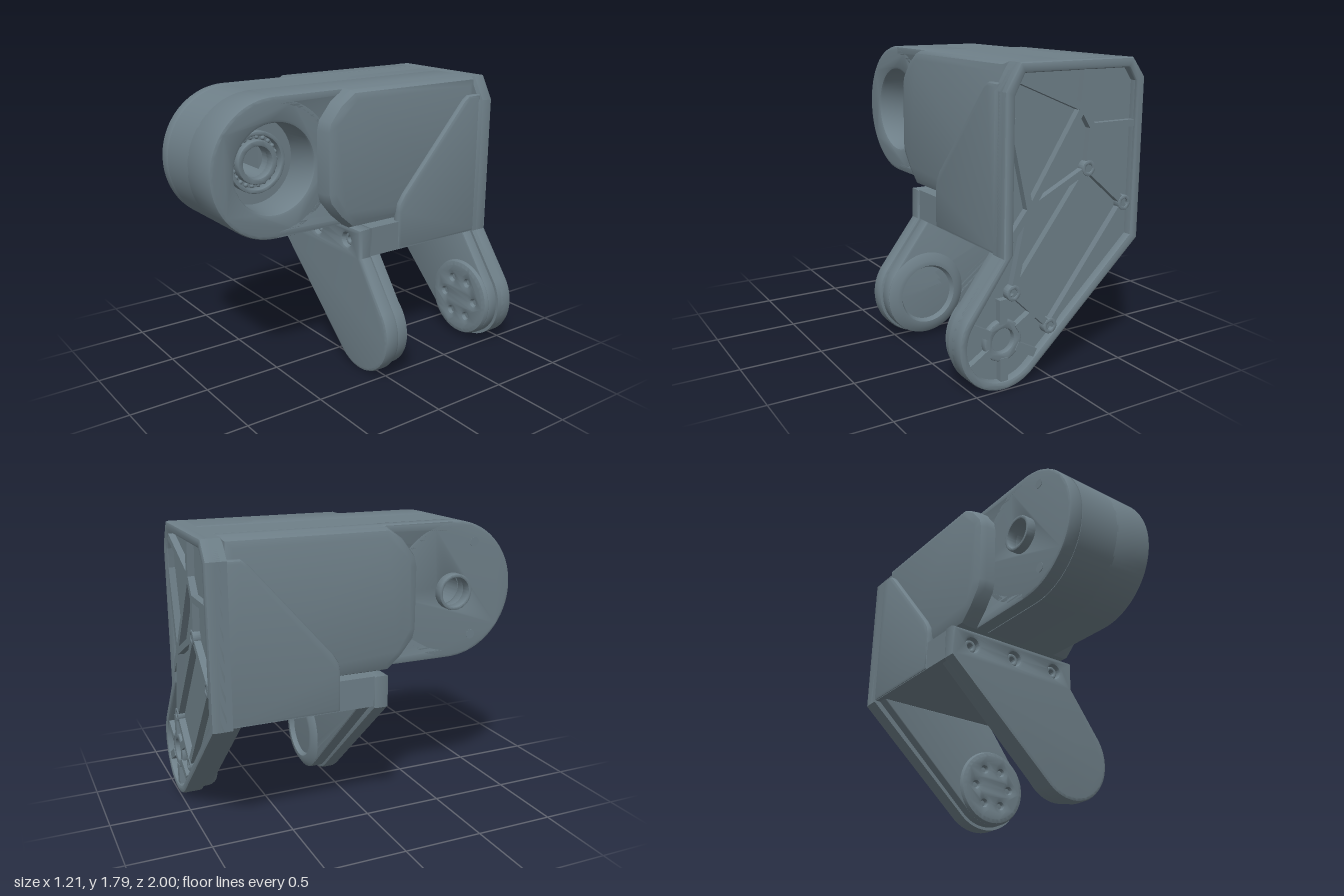
import * as THREE from 'three';
import { toCreasedNormals } from 'three/addons/utils/BufferGeometryUtils.js';

const LEG = [0.32, 0.285];      // pivot of the legs (x, y)
const HUB = [0.575, 1.365];     // pivot of the arm (z, y)
const ARM_R = 0.425;

export function createModel() {
  const model = new THREE.Group();
  const slate = new THREE.MeshStandardMaterial({ color: 0x6e7f88 });
  slate.name = 'slate grey';

  const add = (name, geo, x = 0, y = 0, z = 0) => {
    const mesh = new THREE.Mesh(geo, slate);
    mesh.name = name;
    mesh.position.set(x, y, z);
    model.add(mesh);
    return mesh;
  };
  // Extrusion between two depths, with chamfers kept inside the outline
  const slab = (shape, from, to, bevel = 0, inset = bevel) => {
    const geo = new THREE.ExtrudeGeometry(shape, {
      depth: to - from - 2 * bevel, bevelEnabled: bevel > 0, bevelThickness: bevel,
      bevelSize: inset, bevelOffset: -inset, bevelSegments: 2, curveSegments: 40,
    });
    geo.translate(0, 0, from + bevel);
    return toCreasedNormals(geo, 0.6);
  };
  // Same, for outlines in (z, y) extruded along x
  const sideSlab = (shape, x0, x1, bevel) => slab(shape, -x1, -x0, bevel).rotateY(-Math.PI / 2);
  const poly = (pts) => new THREE.Shape(pts.map((p) => new THREE.Vector2(...p)));
  const hole = (shape, x, y, r) => {
    shape.holes.push(new THREE.Path().absarc(x, y, r, 0, Math.PI * 2, true));
    return shape;
  };
  const disc = (x, y, r) => new THREE.Shape().absarc(x, y, r, 0, Math.PI * 2, false);
  const ring = (r, bore) => hole(disc(...HUB, r), ...HUB, bore);

  // Plate outline that tapers tangentially onto the round end of a leg
  const legShape = (r, left, right, top) => {
    const tangent = (p, sign) => {
      const dx = p[0] - LEG[0], dy = p[1] - LEG[1];
      return Math.atan2(dy, dx) + sign * Math.acos(r / Math.hypot(dx, dy));
    };
    const a0 = tangent(left, 1), a1 = tangent(right, -1) + Math.PI * 2;
    const pts = [];
    for (let i = 0; i <= 40; i++) {
      const a = a0 + (a1 - a0) * (i / 40);
      pts.push([LEG[0] + r * Math.cos(a), LEG[1] + r * Math.sin(a)]);
    }
    return poly([...pts, right, ...top, left]);
  };

  // ---- Arm: layers of a round end with a bore, each joined to a straight beam ----
  const armLayer = (name, x0, x1, bore, bevel) => {
    add(name + 'End', sideSlab(ring(ARM_R, bore), x0, x1, bevel));
    const [z, y] = HUB, bite = 0.36;
    const beam = new THREE.Shape();
    beam.moveTo(-0.89, y - ARM_R);
    beam.lineTo(z, y - ARM_R);
    beam.lineTo(z, y - bite);
    beam.absarc(z, y, bite, -Math.PI / 2, -Math.PI * 1.5, true);
    beam.lineTo(z, y + ARM_R);
    beam.lineTo(-0.89, y + ARM_R);
    add(name + 'Beam', sideSlab(beam, x0, x1, bevel));
  };
  armLayer('armRecess', -0.12, 0.17, 0.27, 0.02);
  armLayer('armCore', -0.365, -0.09, 0.1, 0);
  armLayer('armCap', -0.455, -0.36, 0.1, 0.015);

  // Wide shoulder block with chamfered front corners
  const shoulder = poly([[-0.89, 0.94], [0.1, 0.94], [0.19, 1.02], [0.27, 1.12], [0.285, 1.18],
    [0.285, 1.56], [0.27, 1.62], [0.19, 1.72], [0.09, 1.79], [-0.89, 1.79]]);
  add('shoulderBlock', sideSlab(shoulder, -0.57, 0.29, 0.055));

  // Bearing in the recess
  add('bearingOuterRing', sideSlab(ring(0.19, 0.165), -0.1, -0.03, 0.006));
  add('bearingInnerRing', sideSlab(ring(0.135, 0.1), -0.1, -0.03, 0.006));
  const ball = new THREE.SphereGeometry(0.014, 10, 8);
  for (let i = 0; i < 22; i++) {
    const a = (i / 22) * Math.PI * 2;
    add('bearingBall', ball, -0.075, HUB[1] + 0.15 * Math.sin(a), HUB[0] + 0.15 * Math.cos(a));
  }
  add('shaftFlat', new THREE.BoxGeometry(0.2, 0.17, 0.04), -0.25, HUB[1], HUB[0] - 0.09);

  // Pivot collar and screws on the far side of the arm
  add('pivotCollar', sideSlab(ring(0.112, 0.09), -0.51, -0.44, 0.008));
  for (const s of [-1, 1]) {
    const screw = add('capScrew', new THREE.CylinderGeometry(0.03, 0.03, 0.01, 20),
      -0.453, HUB[1] + s * 0.29, HUB[0] + 0.15);
    screw.rotation.z = Math.PI / 2;
  }

  // ---- Bracket ----
  add('bracketFloor', new THREE.BoxGeometry(0.91, 0.185, 0.92), -0.14, 0.8425, -0.47);
  const gusset = poly([[-0.9, 0.75], [-0.23, 0.75], [-0.23, 1.0], [-0.24, 1.05], [-0.28, 1.11],
    [-0.76, 1.65], [-0.8, 1.68], [-0.9, 1.68]]);
  add('rightGusset', sideSlab(gusset, -0.605, -0.54, 0.02));
  add('leftGusset', sideSlab(gusset, 0.26, 0.325, 0.02));

  // Front plate and leg, with three countersunk bolts
  const front = legShape(0.285, [-0.605, 0.74], [0.325, 0.75], [[0.325, 0.935], [-0.605, 0.935]]);
  for (const x of [-0.46, -0.14, 0.18]) {
    hole(front, x, 0.84, 0.045);
    add('bolt', slab(hole(disc(x, 0.84, 0.042), x, 0.84, 0.02), -0.02, 0.05, 0.008));
  }
  add('frontLeg', slab(front, -0.02, 0.08, 0.02));
  const inner = () => legShape(0.265, [-0.57, 0.755], [0.3, 0.755], []);
  add('frontLegInner', slab(hole(inner(), ...LEG, 0.19), -0.1, -0.01, 0.012));

  // Tapered boss with a dished socket on the inside of the front leg
  const boss = new THREE.LatheGeometry([[0.262, 0], [0.262, 0.08], [0.215, 0.11], [0.185, 0.11],
    [0.165, 0.07], [0.11, 0.03], [0, 0.02]].map((p) => new THREE.Vector2(...p)), 48);
  add('frontLegBoss', toCreasedNormals(boss.rotateX(-Math.PI / 2), 0.6), ...LEG, -0.02);

  // Back plate: floor, raised rim, inner leg and drive disc
  const backTop = [[0.325, 1.64], [0.24, 1.79], [-0.52, 1.79], [-0.605, 1.68]];
  const back = () => legShape(0.285, [-0.605, 0.74], [0.325, 0.75], backTop);
  const rim = back();
  rim.holes.push(legShape(0.235, [-0.545, 0.765], [0.27, 0.765],
    [[0.27, 1.62], [0.21, 1.735], [-0.49, 1.735], [-0.545, 1.66]]));
  add('backPlate', slab(back(), -0.95, -0.88));
  add('backRim', slab(rim, -1, -0.9, 0.015));
  add('backLegInner', slab(inner(), -0.89, -0.81, 0.012));
  const drive = disc(...LEG, 0.262);
  for (let i = 0; i < 6; i++) {
    const a = (i / 6) * Math.PI * 2;
    hole(drive, LEG[0] + 0.14 * Math.cos(a), LEG[1] + 0.14 * Math.sin(a), 0.02);
  }
  add('driveDisc', slab(drive, -0.84, -0.78, 0.028, 0.035));

  // Stiffening ribs in the back pocket
  const rib = (a, b, w = 0.04) => {
    const len = Math.hypot(b[0] - a[0], b[1] - a[1]);
    const mesh = add('rib', new THREE.BoxGeometry(len, w, 0.05),
      (a[0] + b[0]) / 2, (a[1] + b[1]) / 2, -0.965);
    mesh.rotation.z = Math.atan2(b[1] - a[1], b[0] - a[0]);
  };
  const n1 = [-0.18, 1.53], n2 = [0.16, 1.0], n3 = [-0.23, 1.19], n4 = [-0.25, 1.42];
  const b1 = [-0.5, 0.96], b2 = [0.26, 0.55], b3 = [0.01, 0.31];
  [[n1, [0.23, 1.7]], [n1, [-0.2, 1.75]], [n1, n2], [n1, n4], [n2, [0.28, 1.5]],
    [n2, n3], [n2, b2], [n2, [0.28, 0.85]], [n3, b2], [b1, b3], [n3, b1],
    [n4, [-0.55, 1.42]], [n4, n3], [b2, b3]].forEach(([a, b]) => rib(a, b));

  // Screw posts and the toothed hub seat on the back
  for (const [x, y] of [n3, b1, b2, b3])
    add('screwPost', slab(hole(disc(x, y, 0.045), x, y, 0.022), -0.995, -0.93, 0.006));
  add('hubSeat', slab(hole(disc(...LEG, 0.12), ...LEG, 0.07), -0.985, -0.93, 0.01));
  for (let i = 0; i < 6; i++) {
    const a = (i / 6) * Math.PI * 2 + 0.5;
    const p = (r) => [LEG[0] + r * Math.cos(a), LEG[1] + r * Math.sin(a)];
    rib(p(0.1), p(0.24), 0.05);
  }
  return model;
}
